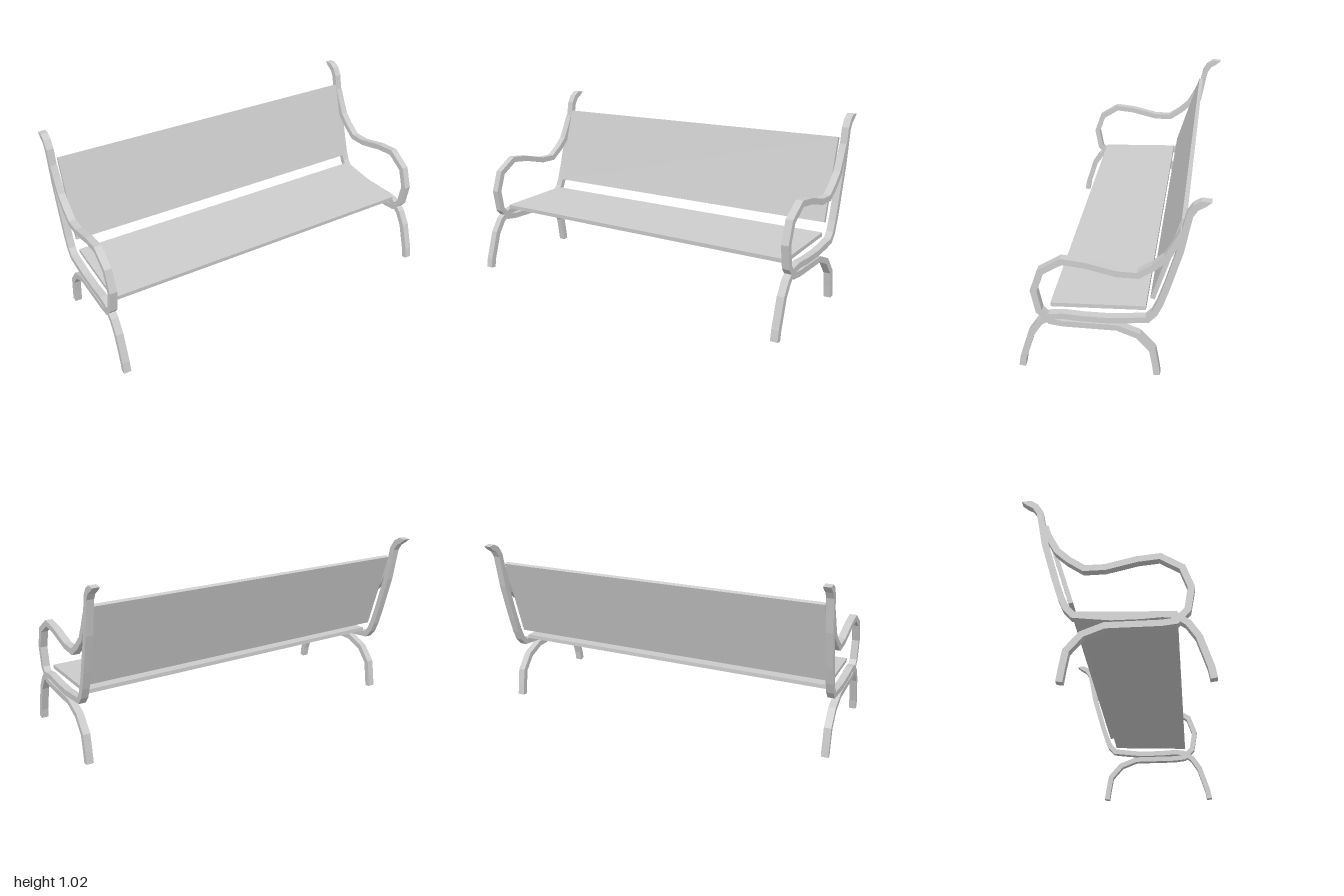
import * as THREE from 'three';

const material = new THREE.MeshStandardMaterial({ color: 0xcccccc, flatShading: true });

// Flat bar of constant width following a [z, y] centre line, with mitred bends and an optional pointed tip
function bar(name, path, width, depth, tip) {
  const pts = path.map(([z, y]) => new THREE.Vector2(-z, y));
  const left = [], right = [];
  pts.forEach((p, i) => {
    const before = p.clone().sub(pts[Math.max(i - 1, 0)]).normalize();
    const after = pts[Math.min(i + 1, pts.length - 1)].clone().sub(p).normalize();
    const dir = before.clone().add(after).normalize();
    const ref = i === 0 ? after : before;
    const offset = new THREE.Vector2(-dir.y, dir.x).multiplyScalar(width / 2 / dir.dot(ref));
    left.push(p.clone().add(offset));
    right.push(p.clone().sub(offset));
  });
  if (tip) left.push(new THREE.Vector2(-tip[0], tip[1]));
  const shape = new THREE.Shape([...left, ...right.reverse()]);
  const geometry = new THREE.ExtrudeGeometry(shape, { depth, bevelEnabled: false });
  geometry.translate(0, 0, -depth / 2);
  geometry.rotateY(Math.PI / 2);
  const mesh = new THREE.Mesh(geometry, material);
  mesh.name = name;
  return mesh;
}

function board(name, thickness, length, y, z, tilt) {
  const mesh = new THREE.Mesh(new THREE.BoxGeometry(1.9, thickness, length), material);
  mesh.name = name;
  mesh.position.set(0, y, z);
  mesh.rotation.x = tilt;
  return mesh;
}

// Front leg, seat rail and back post in one sweep
const postPath = [
  [0.455, 0], [0.445, 0.058], [0.396, 0.213], [0.35, 0.284], [0.293, 0.326], [0.23, 0.334],
  [0.131, 0.328], [-0.008, 0.328], [-0.103, 0.339], [-0.188, 0.35], [-0.222, 0.388],
  [-0.247, 0.445], [-0.278, 0.542], [-0.338, 0.753], [-0.36, 0.874], [-0.374, 0.947],
  [-0.399, 0.987], [-0.433, 1.008],
];

// Rear leg, lower rail and armrest in one sweep
const armPath = [
  [-0.24, 0.008], [-0.23, 0.08], [-0.215, 0.165], [-0.145, 0.246], [-0.04, 0.287],
  [0.228, 0.288], [0.295, 0.296], [0.349, 0.354], [0.37, 0.474], [0.331, 0.586],
  [0.226, 0.653], [0.115, 0.642], [-0.04, 0.605], [-0.142, 0.604], [-0.218, 0.657],
  [-0.276, 0.712], [-0.319, 0.793], [-0.35, 0.86],
];

export function createModel() {
  const bench = new THREE.Group();
  bench.name = 'bench';

  // Side frames
  for (const side of [1, -1]) {
    const frame = new THREE.Group();
    frame.name = side > 0 ? 'leftFrame' : 'rightFrame';
    frame.position.x = side * 0.98;
    frame.add(bar('frontLegAndBackPost', postPath, 0.033, 0.04, [-0.47, 1.018]));
    frame.add(bar('rearLegAndArmrest', armPath, 0.033, 0.04));
    bench.add(frame);
  }

  // Seat and backrest boards
  bench.add(board('seat', 0.022, 0.477, 0.373, 0.062, 0.04));
  bench.add(board('backrest', 0.023, 0.476, 0.67, -0.278, Math.PI / 2 - 0.298));
  return bench;
}
